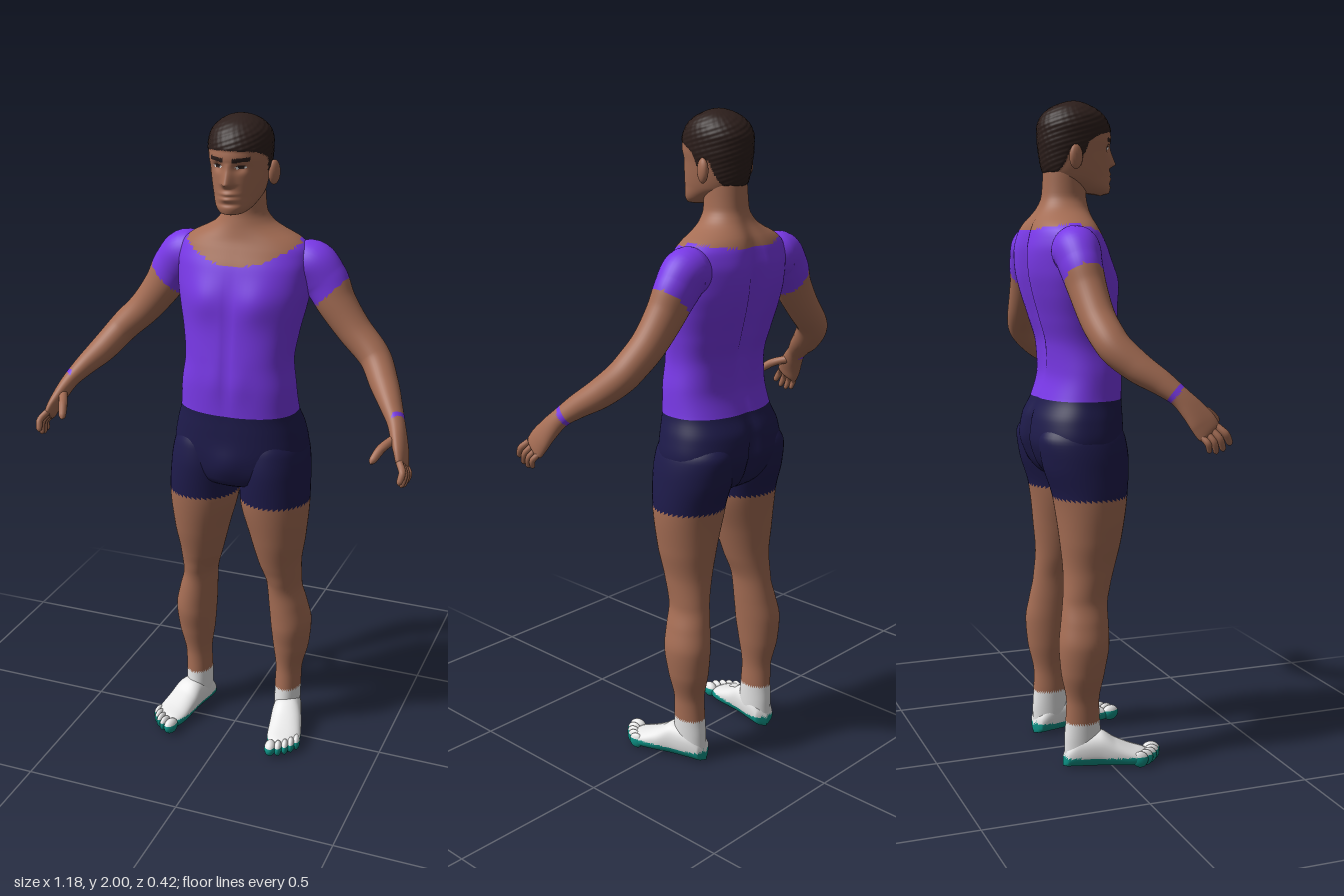
import * as THREE from 'three';

const mat = (name, color) => {
  const m = new THREE.MeshStandardMaterial({ color });
  m.name = name;
  return m;
};

// Smooth non-overshooting interpolation through rows of [key, ...values]
function spline(rows) {
  const slope = (i, c) => (rows[i + 1][c] - rows[i][c]) / (rows[i + 1][0] - rows[i][0]);
  const tangent = (i, c) => {
    if (i === 0) return slope(0, c);
    if (i === rows.length - 1) return slope(i - 1, c);
    const a = slope(i - 1, c), b = slope(i, c);
    return a * b <= 0 ? 0 : (2 * a * b) / (a + b);
  };
  return (k) => {
    let i = 0;
    while (i < rows.length - 2 && k > rows[i + 1][0]) i++;
    const h = rows[i + 1][0] - rows[i][0];
    const t = Math.min(1, Math.max(0, (k - rows[i][0]) / h)), t2 = t * t, t3 = t2 * t;
    return rows[i].slice(1).map((v, j) => (2 * t3 - 3 * t2 + 1) * v + (3 * t2 - 2 * t3) * rows[i + 1][j + 1]
      + (t3 - 2 * t2 + t) * h * tangent(i, j + 1) + (t3 - t2) * h * tangent(i + 1, j + 1));
  };
}

const bump = (v, c, w) => Math.exp(-(((v - c) / w) ** 2));
const pw = (v, p) => Math.sign(v) * Math.abs(v) ** (2 / p);

export function createModel() {
  const skin = mat('skin', 0xa56d54), hair = mat('hair', 0x2c1e1b), shirt = mat('purpleShirt', 0x7c3aed);
  const shorts = mat('navyShorts', 0x1e1b4b), sock = mat('whiteSock', 0xeeeeee), sole = mat('tealSole', 0x0d9488);
  const model = new THREE.Group();
  model.name = 'standingMan';

  // Closed rings of points; side -1 mirrors in x; pick(point) chooses each face's material
  function skinMesh(name, rows, cols, point, pick, side = 1) {
    const pos = [], pts = [], buckets = new Map();
    for (let i = 0; i <= rows; i++) for (let j = 0; j < cols; j++) {
      const p = point(i / rows, (j / cols) * Math.PI * 2);
      pts.push(p);
      pos.push(p.x * side, p.y, p.z);
    }
    const add = (a, b, c) => {
      const m = pick(pts[a].clone().add(pts[b]).add(pts[c]).divideScalar(3));
      if (!buckets.has(m)) buckets.set(m, []);
      buckets.get(m).push(...(side > 0 ? [a, b, c] : [a, c, b]));
    };
    for (let i = 0; i < rows; i++) for (let j = 0; j < cols; j++) {
      const a = i * cols + j, b = i * cols + ((j + 1) % cols);
      add(a, a + cols, b);
      add(b, a + cols, b + cols);
    }
    const g = new THREE.BufferGeometry(), index = [], mats = [];
    for (const [m, list] of buckets) {
      g.addGroup(index.length, list.length, mats.length);
      mats.push(m);
      for (const k of list) index.push(k);
    }
    g.setAttribute('position', new THREE.Float32BufferAttribute(pos, 3));
    g.setIndex(index);
    g.computeVertexNormals();
    const mesh = new THREE.Mesh(g, mats.length > 1 ? mats : mats[0]);
    mesh.name = name;
    model.add(mesh);
  }

  // Tapered limb along rows of [key, x, y, z, thickness, width]
  function limb(name, rows, n, cols, pick, side) {
    const f = spline(rows), end = rows[rows.length - 1][0];
    const at = (k) => new THREE.Vector3(...f(k));
    skinMesh(name, n, cols, (u, a) => {
      const k = u * end, r = f(k);
      const T = at(Math.min(end, k + 0.05)).sub(at(Math.max(0, k - 0.05))).normalize();
      const U = T.clone().cross(new THREE.Vector3(0, 0, 1)).normalize(), V = U.clone().cross(T);
      return at(k).addScaledVector(U, r[3] * Math.cos(a)).addScaledVector(V, r[4] * Math.sin(a));
    }, pick, side);
  }

  function ellipsoid(name, c, r, yaw, pick, side) {
    const up = new THREE.Vector3(0, 1, 0);
    skinMesh(name, 16, 16, (u, a) => {
      const s = Math.sin(u * Math.PI);
      return new THREE.Vector3(r[0] * s * Math.cos(a), -r[1] * Math.cos(u * Math.PI), r[2] * s * Math.sin(a))
        .applyAxisAngle(up, yaw).add(new THREE.Vector3(...c));
    }, pick, side);
  }

  // Torso and neck: y, half width, front z, back z, squareness
  const torso = spline([[0.85, 0.02, -0.02, -0.08, 2], [0.9, 0.16, 0.07, -0.165, 2.2], [0.95, 0.203, 0.08, -0.195, 2.3],
    [1, 0.212, 0.083, -0.208, 2.3], [1.06, 0.202, 0.082, -0.2, 2.3], [1.12, 0.185, 0.08, -0.172, 2.3],
    [1.2, 0.178, 0.08, -0.152, 2.3], [1.28, 0.168, 0.076, -0.158, 2.3], [1.36, 0.178, 0.068, -0.18, 2.3],
    [1.44, 0.195, 0.058, -0.2, 2.3], [1.5, 0.205, 0.047, -0.208, 2.3], [1.56, 0.207, 0.032, -0.21, 2.3],
    [1.61, 0.198, 0.012, -0.203, 2.2], [1.64, 0.168, 0, -0.192, 2.1], [1.66, 0.128, -0.005, -0.18, 2],
    [1.685, 0.087, -0.01, -0.165, 2], [1.72, 0.065, -0.015, -0.152, 2], [1.8, 0.06, -0.015, -0.145, 2]]);
  skinMesh('torso', 95, 96, (u, a) => {
    const y = 0.85 + 0.95 * u, [w, f, b, p] = torso(y), s = Math.sin(a);
    const x = w * pw(Math.cos(a), p);
    let z = (f + b) / 2 + ((f - b) / 2) * pw(s, p);
    const ax = Math.abs(x);
    if (s > 0) z += s * (0.016 * bump(ax, 0.085, 0.065) * bump(y, 1.47, 0.06)
      - 0.006 * bump(x, 0, 0.012) * bump(y, 1.33, 0.16)
      + 0.004 * bump(ax, 0.04, 0.03) * bump(y, 1.22, 0.06) + 0.012 * bump(x, 0, 0.05) * bump(y, 0.96, 0.05));
    else z += -s * (0.028 * bump(x, 0, 0.028) * bump(y, 1.43, 0.2) + 0.03 * bump(x, 0, 0.02) * bump(y, 0.98, 0.09)
      - 0.012 * bump(ax, 0.09, 0.06) * bump(y, 1.53, 0.1));
    return new THREE.Vector3(x, y, z);
  }, (p) => {
    if (p.y < 1.12) return shorts;
    const neckline = p.z > -0.09 ? 1.57 + 1.9 * p.x * p.x : 1.62 + 0.6 * p.x * p.x;
    return p.y > neckline && Math.abs(p.x) < 0.188 ? skin : shirt;
  });

  // Head: y, half width, front z, back z
  const skull = spline([[1.722, 0, 0.035, 0.035], [1.73, 0.036, 0.06, -0.02], [1.75, 0.057, 0.064, -0.08],
    [1.78, 0.071, 0.061, -0.138], [1.81, 0.078, 0.06, -0.15], [1.85, 0.084, 0.059, -0.156], [1.885, 0.089, 0.064, -0.16],
    [1.92, 0.09, 0.058, -0.16], [1.95, 0.084, 0.044, -0.149], [1.975, 0.065, 0.018, -0.125],
    [1.99, 0.042, -0.012, -0.095], [1.998, 0.018, -0.036, -0.068], [2, 0, -0.052, -0.052]]);
  const hairline = spline([[-0.17, 1.782], [-0.12, 1.79], [-0.1, 1.82], [-0.085, 1.86], [-0.065, 1.85],
    [-0.05, 1.838], [-0.03, 1.88], [0.03, 1.905], [0.07, 1.91]]);
  skinMesh('head', 120, 120, (u, a) => {
    const y = 1.861 - 0.139 * Math.cos(u * Math.PI), [w, f, b] = skull(y), s = Math.sin(a);
    let x = w * Math.cos(a), z = (f + b) / 2 + ((f - b) / 2) * s;
    const ax = Math.abs(x);
    if (s > 0) {
      const noseRise = y > 1.815 ? Math.max(0, (1.875 - y) / 0.06) : Math.max(0, 1 - (1.815 - y) / 0.014);
      z += 0.025 * noseRise * bump(x, 0, 0.012 + 0.004 * noseRise)
        - 0.011 * bump(ax, 0.034, 0.016) * bump(y, 1.862, 0.013)
        + 0.006 * bump(x, 0, 0.024) * (bump(y, 1.787, 0.006) + bump(y, 1.772, 0.006)) - 0.004 * bump(y, 1.757, 0.006) * bump(x, 0, 0.03);
    }
    // cropped hair stands slightly proud of the scalp
    const h = THREE.MathUtils.smoothstep(y, hairline(z)[0] - 0.004, hairline(z)[0] + 0.006);
    const k = 1 + h * (0.03 + 0.012 * Math.sin(a * 23 + y * 160) * Math.sin(y * 290 - a * 9));
    x *= k;
    z = -0.05 + (z + 0.05) * k;
    return new THREE.Vector3(x, y, z);
  }, (p) => {
    const ax = Math.abs(p.x);
    if (p.y > hairline(p.z)[0]) return hair;
    if (p.z < 0) return skin;
    if (ax > 0.013 && ax < 0.06 && Math.abs(p.y - 1.883 - 0.1 * (ax - 0.03)) < 0.006) return hair;
    const e = ((ax - 0.035) / 0.015) ** 2 + ((p.y - 1.863) / 0.006) ** 2;
    if (e < 1) return Math.abs(ax - 0.035) < 0.007 || p.y > 1.865 ? hair : sock;
    return skin;
  });

  // Legs: y, inner x, outer x, front z, back z
  const leg = spline([[0.005, 0.15, 0.165, -0.08, -0.1], [0.03, 0.118, 0.196, -0.03, -0.138], [0.08, 0.116, 0.198, -0.022, -0.138],
    [0.14, 0.116, 0.2, -0.027, -0.134], [0.2, 0.118, 0.202, -0.03, -0.132], [0.3, 0.107, 0.224, -0.014, -0.15],
    [0.38, 0.1, 0.231, -0.001, -0.156], [0.45, 0.095, 0.217, 0, -0.147], [0.52, 0.09, 0.2, 0, -0.137],
    [0.6, 0.067, 0.202, 0.024, -0.132], [0.7, 0.04, 0.217, 0.05, -0.14], [0.83, 0.008, 0.228, 0.071, -0.157],
    [0.93, 0.004, 0.223, 0.078, -0.188], [1, 0.012, 0.212, 0.07, -0.198], [1.085, 0.05, 0.15, 0.03, -0.14]]);

  // Foot: distance from ankle, inner and outer offset, height of instep
  const foot = spline([[-0.052, 0, 0, 0.03], [-0.04, -0.034, 0.034, 0.06], [0, -0.043, 0.044, 0.1], [0.06, -0.046, 0.05, 0.108],
    [0.11, -0.049, 0.056, 0.08], [0.16, -0.051, 0.058, 0.057], [0.2, -0.045, 0.047, 0.043], [0.222, -0.02, 0.01, 0.03]]);
  const yaw = 0.22;
  const onFoot = (o, y, d) => [0.157 + d * Math.sin(yaw) + o * Math.cos(yaw), y, -0.09 + d * Math.cos(yaw) - o * Math.sin(yaw)];
  const shoe = (p) => (p.y < 0.034 ? sole : sock);

  for (const side of [1, -1]) {
    const tag = side > 0 ? 'left' : 'right';
    skinMesh(tag + 'Leg', 108, 44, (u, a) => {
      const y = 0.005 + 1.08 * u, [i, o, f, b] = leg(y);
      const knee = 0.006 * bump(y, 0.54, 0.03) * Math.max(0, Math.sin(a)) ** 3;
      return new THREE.Vector3((i + o) / 2 + ((o - i) / 2) * Math.cos(a), y, (f + b) / 2 + ((f - b) / 2) * Math.sin(a) + knee);
    }, (p) => (p.y > 0.83 ? shorts : p.y > 0.14 ? skin : shoe(p)), side);

    skinMesh(tag + 'Foot', 48, 40, (u, a) => {
      const d = -0.052 + 0.274 * u, [i, o, t] = foot(d);
      return new THREE.Vector3(...onFoot((i + o) / 2 + ((o - i) / 2) * pw(Math.cos(a), 2.4), (t / 2) * (1 - pw(Math.sin(a), 2.4)), d));
    }, shoe, side);
    [[-0.033, 0.226, 0.019], [-0.008, 0.224, 0.013], [0.013, 0.213, 0.012], [0.031, 0.199, 0.012], [0.047, 0.181, 0.012]]
      .forEach(([o, d, r], i) => ellipsoid(tag + 'Toe' + (i + 1), onFoot(o, 0.025, d), [r, 0.025, r * 0.7 + 0.016], yaw, shoe, side));

    // Arm with short sleeve and wristband, ending in the palm
    limb(tag + 'Arm', [[0, 0.13, 1.56, -0.11, 0.05, 0.05], [1, 0.195, 1.562, -0.115, 0.073, 0.07], [2, 0.24, 1.52, -0.115, 0.07, 0.062],
      [3, 0.28, 1.455, -0.109, 0.06, 0.055], [4, 0.34, 1.378, -0.102, 0.052, 0.051], [5, 0.407, 1.312, -0.085, 0.047, 0.05],
      [6, 0.455, 1.25, -0.03, 0.042, 0.045], [7, 0.495, 1.205, 0.03, 0.032, 0.037], [8, 0.522, 1.17, 0.07, 0.025, 0.031],
      [9, 0.54, 1.135, 0.1, 0.022, 0.036], [10, 0.555, 1.1, 0.125, 0.018, 0.041], [11, 0.563, 1.075, 0.14, 0.014, 0.039],
      [12, 0.566, 1.066, 0.147, 0.001, 0.02]], 110, 36, (p) => {
      if (p.x - p.y < -1.22) return shirt;
      const along = (p.x - 0.516) * 0.45 - (p.y - 1.178) * 0.6 + (p.z - 0.062) * 0.66;
      return Math.abs(along) < 0.008 && p.x > 0.512 ? shirt : skin;
    }, side);

    // Fingers and thumb: base, knuckle and tip
    const digit = (name, b, m, t, r) => limb(name, [[0, ...b, r, r], [1, ...m, r, r * 1.05],
      [1.8, ...t.map((v, i) => v * 0.8 + m[i] * 0.2), r * 0.8, r * 0.85], [2, ...t, 0.001, 0.001]], 16, 12, () => skin, side);
    for (let i = 0; i < 4; i++) {
      const b = [0.56 + 0.0025 * i, 1.09 - 0.009 * i, 0.164 - 0.016 * i];
      const t = [0.57 + 0.002 * i, [1.036, 1.02, 1.014, 1.018][i], 0.203 - 0.022 * i];
      digit(tag + 'Finger' + (i + 1), b, b.map((v, k) => (v + t[k]) / 2 + (k === 0 ? 0.01 : 0.003)), t, 0.0105 - 0.0006 * i);
    }
    digit(tag + 'Thumb', [0.532, 1.14, 0.105], [0.505, 1.122, 0.16], [0.486, 1.09, 0.205], 0.0135);

    ellipsoid(tag + 'Ear', [0.092, 1.833, -0.076], [0.014, 0.036, 0.023], -0.35, () => skin, side);
  }
  return model;
}
